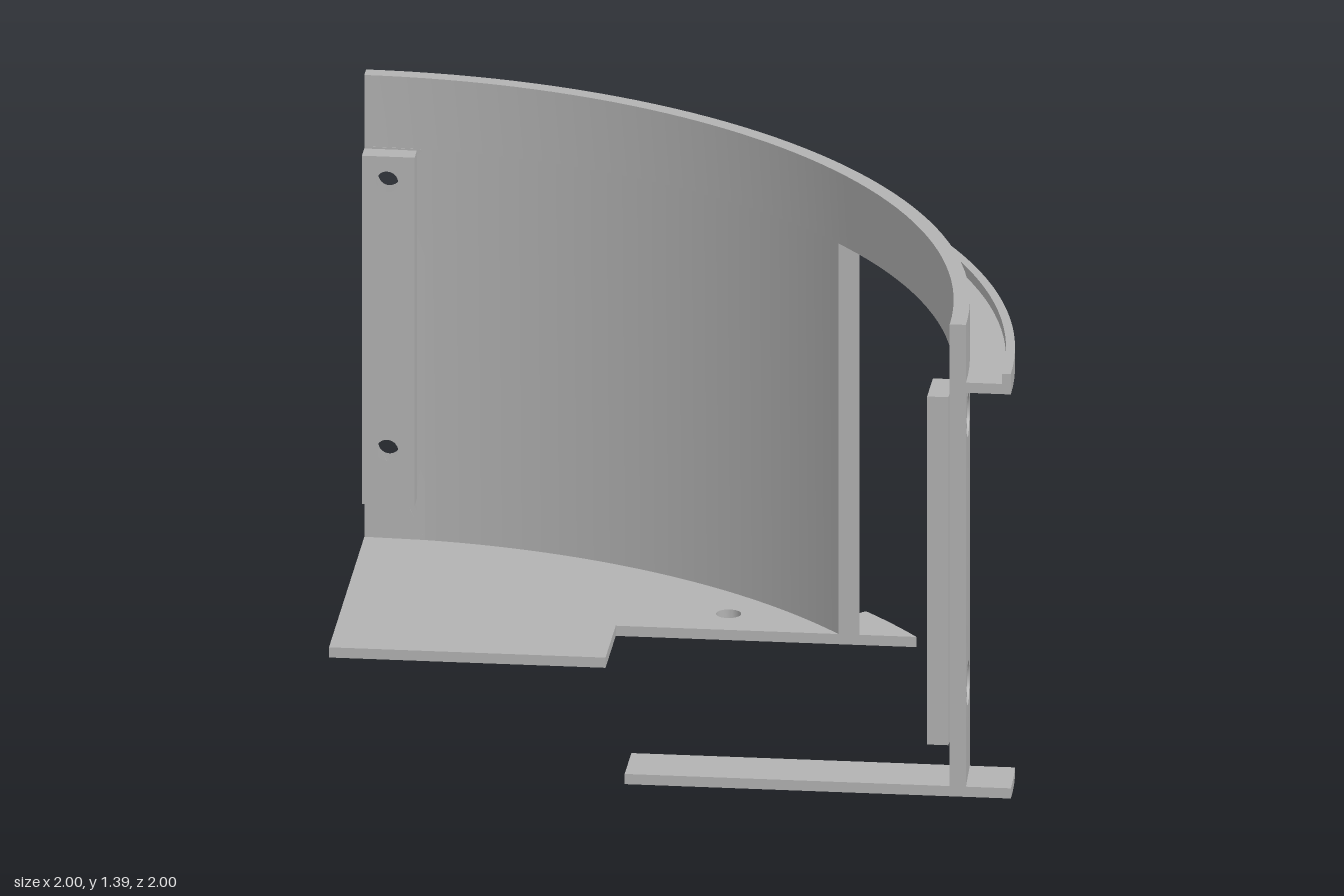
import * as THREE from 'three';
import { toCreasedNormals } from 'three/addons/utils/BufferGeometryUtils.js';

// Plan coordinates: u = x + 1, v = 1 - z, so the arc centre is the origin.
const R_IN = 1.83, R_OUT = 1.875, R_RIM = 2, PLATE = 0.03;
const Q = Math.PI / 2, MID = Math.PI / 4;
const CUT_POST = 0.17, CUT_WALL = 1.19; // window limits measured along v
const SCREWS = [0.31, 1.1];

const pol = (r, a) => new THREE.Vector2(r * Math.cos(a), r * Math.sin(a));
const pt = (u, v) => new THREE.Vector2(u, v);

function arc(r, a0, a1, n = 48) {
  return Array.from({ length: n + 1 }, (_, i) => pol(r, a0 + (a1 - a0) * i / n));
}

function circle(x, y, r) {
  const p = new THREE.Path();
  p.absarc(x, y, r, 0, Math.PI * 2, true);
  return p;
}

export function createModel() {
  const group = new THREE.Group();
  const grey = new THREE.MeshStandardMaterial({ color: 0xb2b2b2 });
  grey.name = 'grey';

  function add(name, geometry) {
    const mesh = new THREE.Mesh(toCreasedNormals(geometry, 0.3), grey);
    mesh.name = name;
    group.add(mesh);
  }

  // Upright prism from a plan outline
  function prism(name, points, y0, y1, holes = []) {
    const shape = new THREE.Shape(points);
    shape.holes.push(...holes);
    const g = new THREE.ExtrudeGeometry(shape, { depth: y1 - y0, bevelEnabled: false, curveSegments: 16 });
    g.rotateX(-Math.PI / 2);
    g.translate(-1, y0, 1);
    add(name, g);
  }

  // Drilled panel at one end of the arc; side 1 = +x end, side -1 = back end
  function panel(name, side, width, y0, y1, r0, r1, holeR, curved) {
    const w = side * width;
    const shape = new THREE.Shape([pt(0, y0), pt(w, y0), pt(w, y1), pt(0, y1)]);
    for (const y of SCREWS) shape.holes.push(circle(side * 0.07, y, holeR));
    const g = new THREE.ExtrudeGeometry(shape, { depth: 1, bevelEnabled: false, curveSegments: 16 });
    const p = g.attributes.position;
    for (let i = 0; i < p.count; i++) {
      const s = p.getX(i), r = r0 + (r1 - r0) * p.getZ(i);
      const d = curved ? Math.sqrt(r * r - s * s) : r;
      if (side > 0) p.setXYZ(i, -1 + d, p.getY(i), 1 - s);
      else p.setXYZ(i, -1 - s, p.getY(i), 1 - d);
    }
    g.computeVertexNormals();
    add(name, g);
  }

  // Continuous band above the window
  prism('upperWall', [...arc(R_OUT, 0, Q), ...arc(R_IN, Q, 0)], 1.18, 1.39);

  // Main curved wall, cut square at the window and at the drilled end
  const span = r => [Math.asin(CUT_WALL / r), Math.acos(CUT_POST / r)];
  const [o0, o1] = span(R_OUT), [i0, i1] = span(R_IN);
  prism('mainWall', [...arc(R_OUT, o0, o1), ...arc(R_IN, i1, i0)], PLATE, 1.18);

  // Drilled wall ends with shallow spot faces, and mounting blocks inside
  for (const [side, label] of [[1, 'left'], [-1, 'back']]) {
    panel(label + 'WallEnd', side, CUT_POST, PLATE, 1.18, R_IN, 1.869, 0.031, true);
    panel(label + 'SpotFace', side, CUT_POST, PLATE, 1.18, 1.869, R_OUT, 0.062, true);
    panel(label + 'MountingBlock', side, 0.147, 0.15, 1.175, 1.767, 1.826, 0.031, false);
  }

  // Flange floor with its hole
  const h = pol(1.96, MID), hr = 0.032;
  prism('flange', [...arc(R_RIM, 0, Q), ...arc(R_OUT - 0.002, Q, 0)], 1.19, 1.22, [circle(h.x, h.y, hr)]);

  // Raised rim of the flange, bitten by the hole
  const lip = 1.975, half = 0.028, da = half / lip;
  const b = Math.atan2(half, lip - 1.96);
  const bite = Array.from({ length: 9 }, (_, i) => {
    const a = MID + b - 2 * b * i / 8;
    return pt(h.x + hr * Math.cos(a), h.y + hr * Math.sin(a));
  });
  prism('flangeRim', [
    ...arc(R_RIM, 0, Q), ...arc(lip, Q, MID + da, 24), ...bite, ...arc(lip, MID - da, 0, 24),
  ], 1.22, 1.25);

  // Base plate with a radial slot, a stepped front edge and a hole
  const slot = 0.045, sa = Math.asin(slot / R_RIM);
  const inner = s => pol(Math.hypot(R_OUT, slot), MID + s * Math.atan2(slot, R_OUT));
  prism('basePlate', [
    pt(0, 0.93), pt(0.77, 0.93), pt(0.77, CUT_WALL),
    ...arc(R_RIM, Math.asin(CUT_WALL / R_RIM), MID - sa, 8),
    inner(-1), inner(1),
    ...arc(R_RIM, MID + sa, Q, 32),
  ], 0, PLATE, [circle(1.07, 1.32, 0.035)]);

  // Foot strip under the post
  prism('footStrip', [
    pt(0.925, 0), ...arc(R_RIM, 0, Math.asin(CUT_POST / R_RIM), 4), pt(0.925, CUT_POST),
  ], 0, PLATE);

  return group;
}
